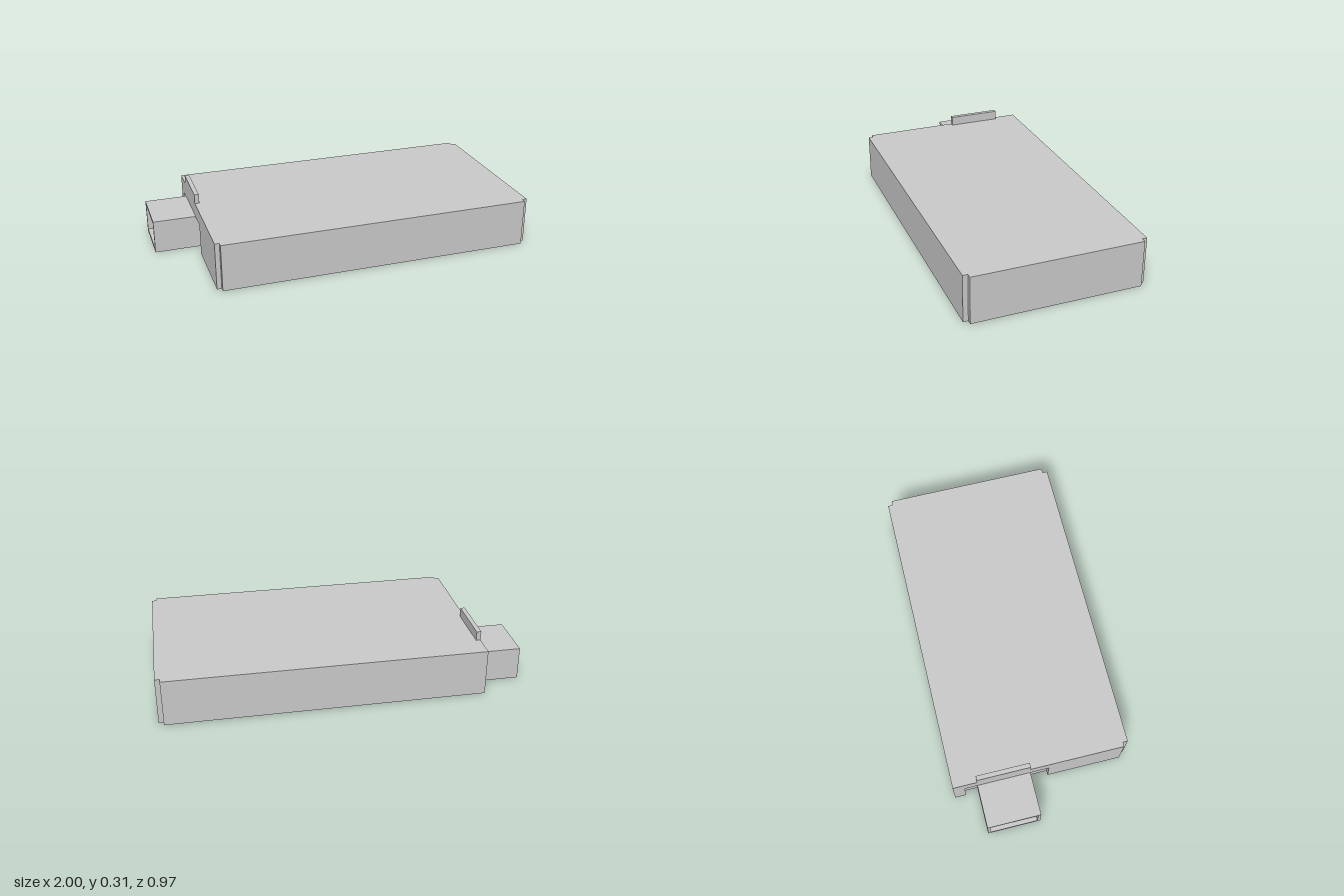
import * as THREE from 'three';

const material = new THREE.MeshStandardMaterial({ color: 0xcccccc, flatShading: true });

// Box given by its limits on each axis
function box(name, [x0, x1], [y0, y1], [z0, z1]) {
  const mesh = new THREE.Mesh(new THREE.BoxGeometry(x1 - x0, y1 - y0, z1 - z0), material);
  mesh.position.set((x0 + x1) / 2, (y0 + y1) / 2, (z0 + z1) / 2);
  mesh.name = name;
  return mesh;
}

// Outline in (z, y), extruded from x1 towards -x
function profile(name, points, x1, depth, hole) {
  const toVectors = (list) => list.map(([z, y]) => new THREE.Vector2(z, y));
  const shape = new THREE.Shape(toVectors(points));
  if (hole) shape.holes.push(new THREE.Path(toVectors(hole)));
  const mesh = new THREE.Mesh(
    new THREE.ExtrudeGeometry(shape, { depth, bevelEnabled: false }), material);
  mesh.rotation.y = -Math.PI / 2;
  mesh.position.x = x1;
  mesh.name = name;
  return mesh;
}

const rect = (z0, z1, y0, y1) => [[z0, y0], [z1, y0], [z1, y1], [z0, y1]];

export function createModel() {
  const group = new THREE.Group();
  const H = 0.263;               // box height
  const innerL = -0.74, innerR = 0.97, innerZ = 0.46;
  const outerL = -0.765, outerR = 0.997, outerZ = 0.487;
  const base = 0.003;            // panels stop just above the floor
  const ductZ = [-0.355, -0.06], ductH = 0.185;

  // Main body and the panels around it
  group.add(
    box('body', [innerL, innerR], [0, H], [-innerZ, innerZ]),
    box('frontPanel', [innerL, innerR], [base, H], [innerZ, outerZ]),
    box('backPanel', [outerL, innerR], [base, H], [-outerZ, -innerZ]),
    box('sidePanel', [innerR, outerR], [base, H], [-innerZ, innerZ]),
  );

  // Entrance panel in two pieces, with an opening below and a slot for the gate
  const openZ = [-0.425, 0.044], openY = 0.18;
  const t = innerL - outerL;
  group.add(
    profile('entrancePanelBack', [
      [-innerZ, base], [openZ[0], base], [openZ[0], openY],
      [ductZ[0], openY], [ductZ[0], H], [-innerZ, H],
    ], innerL, t),
    profile('entrancePanelFront', [
      [openZ[1], base], [innerZ, base], [innerZ, H],
      [ductZ[1], H], [ductZ[1], openY], [openZ[1], openY],
    ], innerL, t),
  );

  // Sliding gate that stands above the roof
  group.add(box('slidingGate', [outerL, innerL], [0, 0.315], ductZ));

  // Open entrance tunnel
  const w = 0.016;
  group.add(profile('entranceTunnel',
    rect(ductZ[0], ductZ[1], 0, ductH), outerL, 1 + outerL,
    rect(ductZ[0] + w, ductZ[1] - w, w, ductH - w)));

  return group;
}
